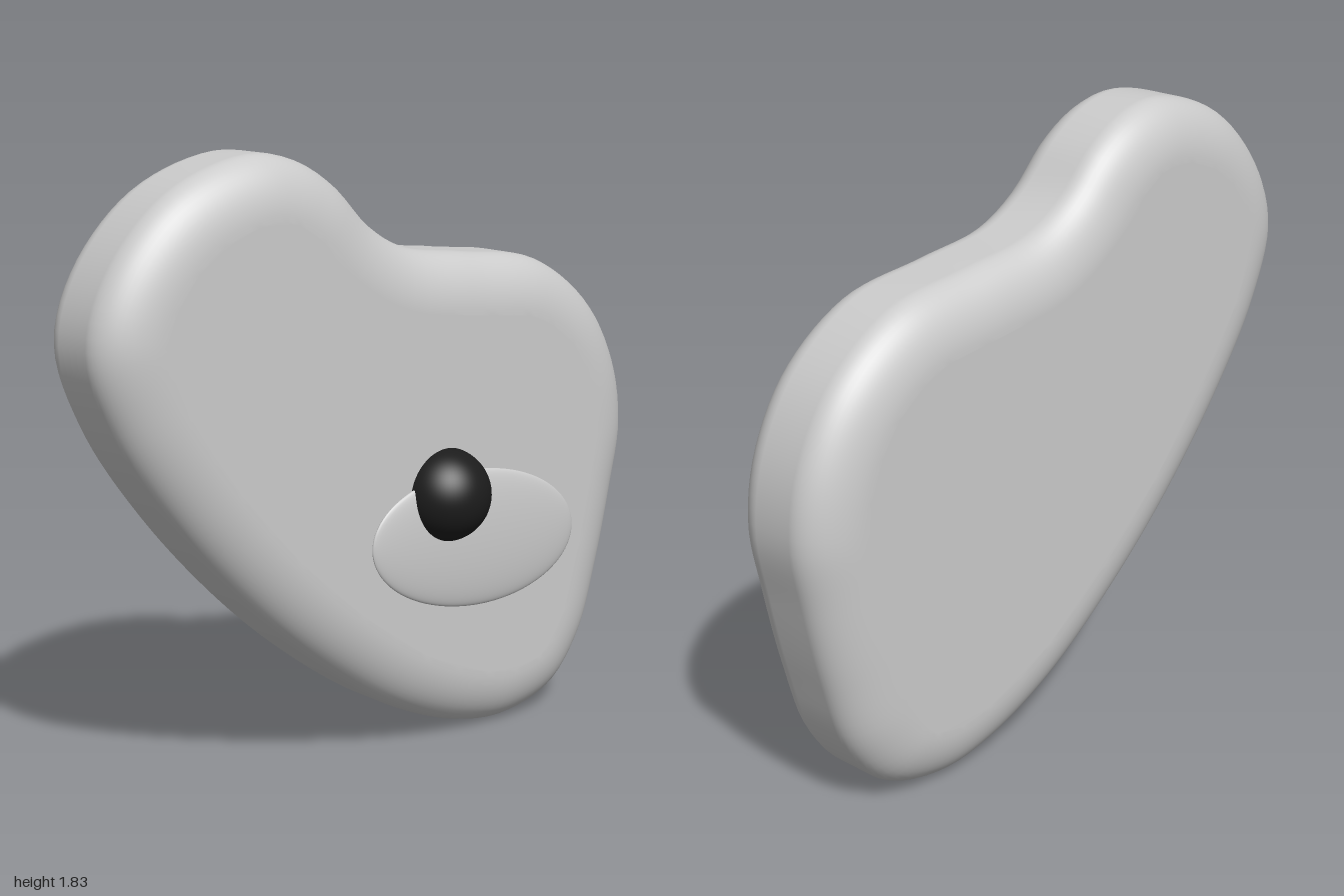
import * as THREE from 'three';
import { mergeVertices } from 'three/addons/utils/BufferGeometryUtils.js';

// Outline of the head, counter-clockwise from the top
const OUTLINE = [
  [-0.47, 1.83], [-0.74, 1.74], [-0.935, 1.54], [-1.0, 1.34], [-0.925, 1.1], [-0.74, 0.82],
  [-0.47, 0.52], [-0.2, 0.29], [0.06, 0.12], [0.31, 0.022], [0.5, 0.0], [0.7, 0.06],
  [0.825, 0.21], [0.9, 0.43], [0.96, 0.68], [0.997, 0.89], [0.96, 1.1], [0.84, 1.3],
  [0.62, 1.45], [0.33, 1.495], [0.09, 1.53], [-0.05, 1.605], [-0.18, 1.73], [-0.31, 1.805],
];

// Pillow-edged slab: elliptical rounding inset from the outline, smooth normals
function pillowGeometry(points, back, front, inset, rounding) {
  const curve = new THREE.CatmullRomCurve3(points.map(([x, y]) => new THREE.Vector3(x, y, 0)), true);
  const outline = curve.getSpacedPoints(144).slice(0, -1).map((p) => new THREE.Vector2(p.x, p.y));
  let geometry = new THREE.ExtrudeGeometry(new THREE.Shape(outline), {
    depth: front - back - 2 * rounding,
    bevelEnabled: true,
    bevelSize: inset,
    bevelOffset: -inset,
    bevelThickness: rounding,
    bevelSegments: 14,
  });
  geometry.translate(0, 0, back + rounding);
  geometry.deleteAttribute('uv');
  geometry.deleteAttribute('normal');
  geometry = mergeVertices(geometry, 1e-4);
  geometry.computeVertexNormals();
  return geometry;
}

function ellipsoid(name, material, position, radii, tilt = 0) {
  const mesh = new THREE.Mesh(new THREE.SphereGeometry(1, 64, 40), material);
  mesh.name = name;
  mesh.position.set(...position);
  mesh.scale.set(...radii);
  mesh.rotation.z = tilt;
  return mesh;
}

export function createModel() {
  const model = new THREE.Group();
  model.name = 'cushionHead';
  const grey = new THREE.MeshStandardMaterial({ color: 0xcccccc });
  const black = new THREE.MeshStandardMaterial({ color: 0x1c1c1c });

  // Soft, thick head
  const head = new THREE.Mesh(pillowGeometry(OUTLINE, -0.25, 0.118, 0.18, 0.12), grey);
  head.name = 'head';

  // Shallow oval muzzle and round nose on the front face
  const muzzle = ellipsoid('muzzle', grey, [0.29, 0.64, 0.125], [0.412, 0.212, 0.03], -0.1);
  const nose = ellipsoid('nose', black, [0.175, 0.79, 0.107], [0.142, 0.142, 0.142]);

  model.add(head, muzzle, nose);
  return model;
}
